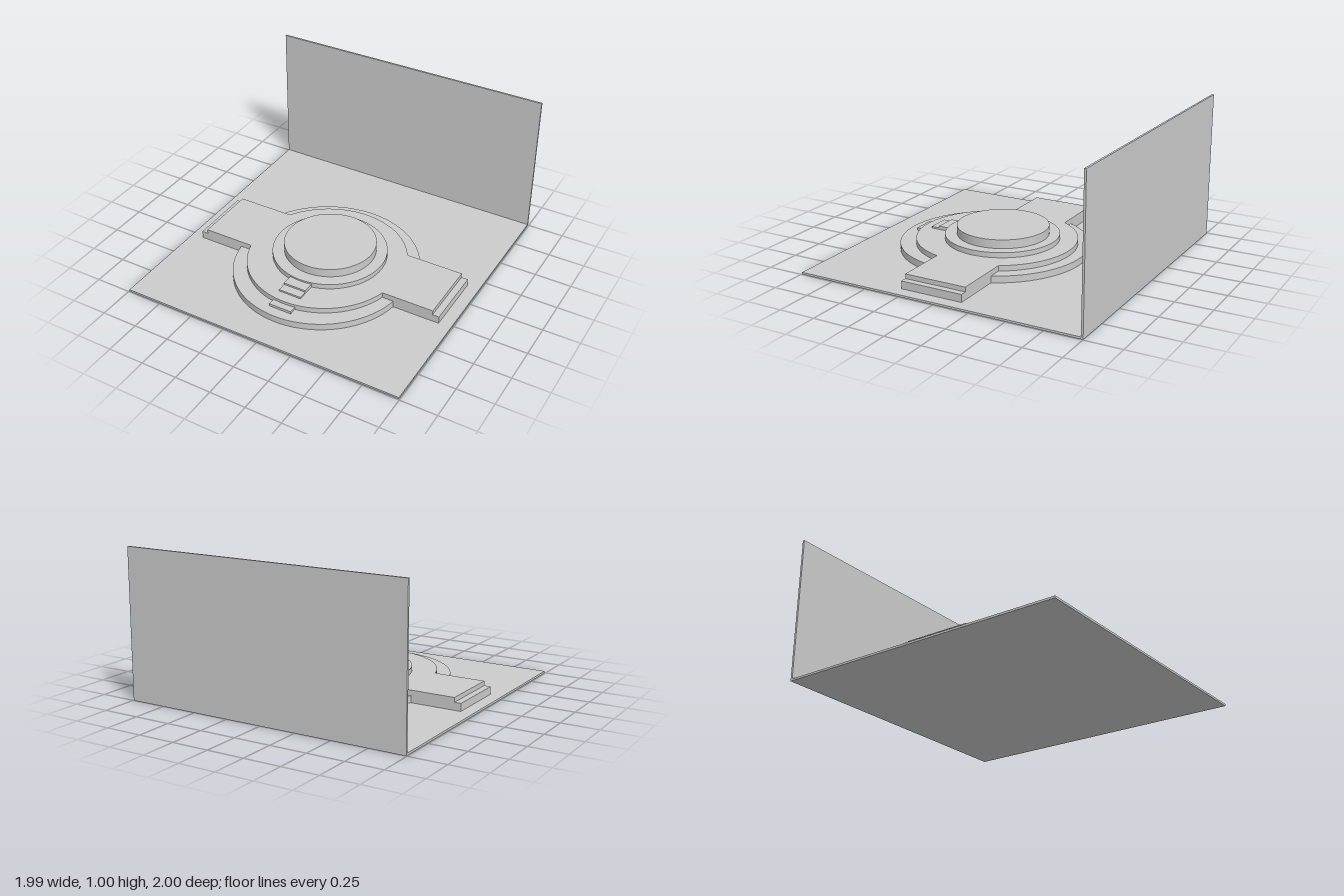
import * as THREE from 'three';
import { toCreasedNormals } from 'three/addons/utils/BufferGeometryUtils.js';

const BASE = 0.008; // parts sink slightly into the floor

export function createModel() {
  const model = new THREE.Group();
  model.name = 'steppedStage';
  const material = new THREE.MeshStandardMaterial({ color: 0xcccccc });

  const add = (name, geometry) => {
    const mesh = new THREE.Mesh(geometry, material);
    mesh.name = name;
    model.add(mesh);
    return mesh;
  };

  // Box given by its limits on each axis
  const box = (name, x0, x1, y0, y1, z0, z1) =>
    add(name, new THREE.BoxGeometry(x1 - x0, y1 - y0, z1 - z0))
      .position.set((x0 + x1) / 2, (y0 + y1) / 2, (z0 + z1) / 2);

  // Upright disc standing on the floor
  const disc = (name, radius, top, z) =>
    add(name, new THREE.CylinderGeometry(radius, radius, top - BASE, 96))
      .position.set(0, (top + BASE) / 2, z);

  // Circular segment from a chord at zChord out to an apex at zApex
  const segment = (name, zChord, halfChord, zApex, top) => {
    const rise = Math.abs(zApex - zChord);
    const r = (halfChord ** 2 + rise ** 2) / (2 * rise);
    const half = Math.atan2(halfChord, r - rise);
    const dir = Math.sign(zApex - zChord);
    const points = [];
    for (let i = 0; i <= 64; i++) {
      const a = half * (i / 32 - 1);
      points.push(new THREE.Vector2(r * Math.sin(a), -(zApex + dir * r * (Math.cos(a) - 1))));
    }
    const geometry = new THREE.ExtrudeGeometry(new THREE.Shape(points), {
      depth: top - BASE, bevelEnabled: false,
    });
    geometry.rotateX(-Math.PI / 2).translate(0, BASE, 0);
    add(name, toCreasedNormals(geometry, 0.5));
  };

  // Floor and back wall
  box('floor', -0.995, 0.995, 0, 0.014, -1, 0.995);
  box('backWall', -0.995, 0.995, 0, 1, -1, -0.986);

  // Wide platform across the stage, with a low step at each end
  const back = -0.15, front = 0.285;
  box('crossPlatform', -0.865, 0.865, BASE, 0.097, back, front);
  for (const [side, s] of [['left', 1], ['right', -1]]) {
    box(side + 'EndStep', Math.min(s * 0.86, s * 0.91), Math.max(s * 0.86, s * 0.91),
      BASE, 0.066, back, front);
  }

  // Two curved tiers behind and in front of the platform
  segment('backLowerTier', back, 0.56, -0.5, 0.06);
  segment('backUpperTier', back, 0.465, -0.42, 0.097);
  segment('frontLowerTier', front, 0.585, 0.79, 0.06);
  segment('frontUpperTier', front, 0.505, 0.675, 0.097);

  // Round central dais
  disc('daisBase', 0.386, 0.132, 0.085);
  disc('daisTop', 0.31, 0.192, 0.08);

  // Short stairs leading up to the dais
  box('stairUpper', -0.08, 0.08, 0.05, 0.121, 0.42, 0.54);
  box('stairMiddle', -0.08, 0.08, 0.05, 0.109, 0.42, 0.6);
  box('stairLower', -0.08, 0.08, 0.03, 0.078, 0.62, 0.72);

  return model;
}
